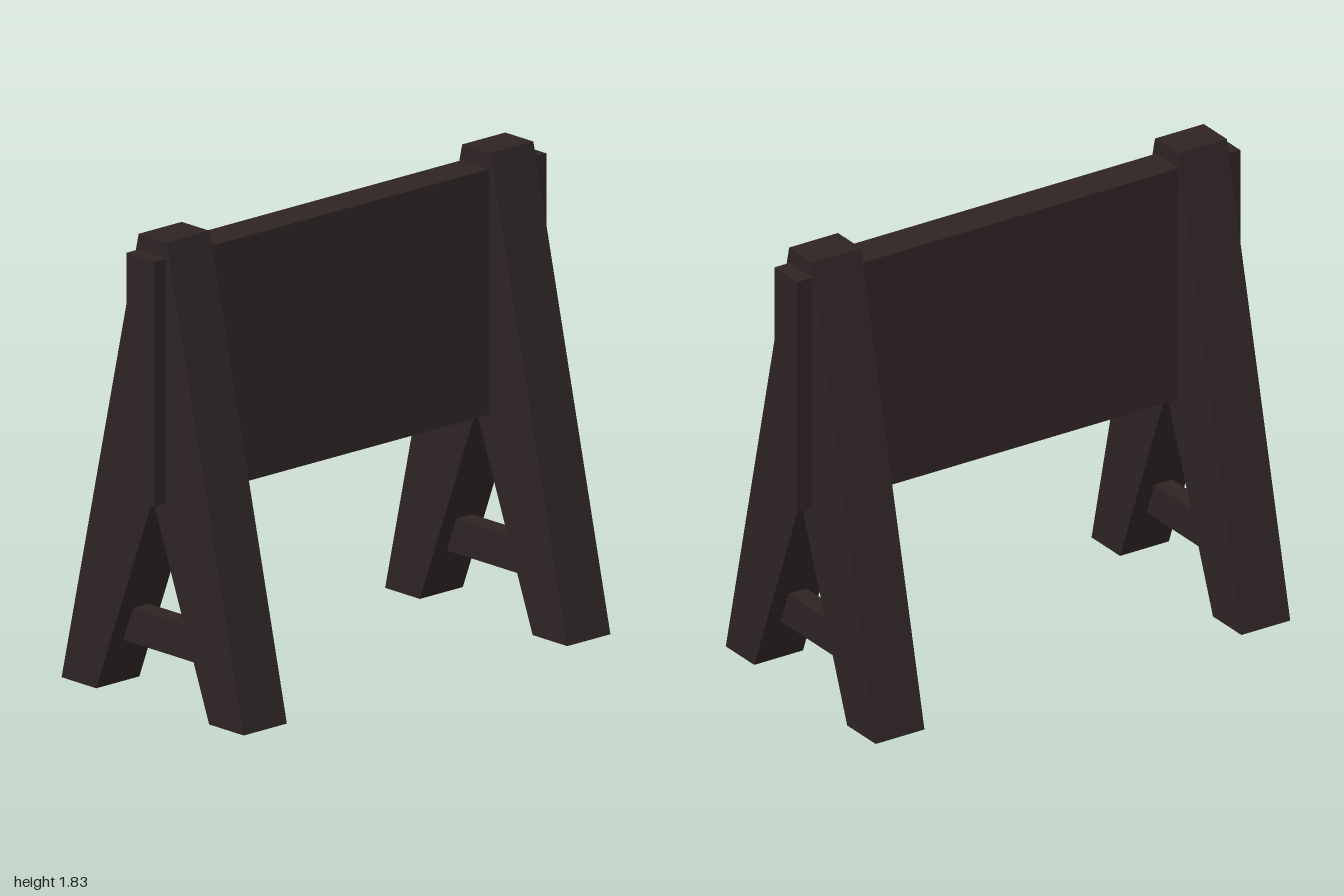
import * as THREE from 'three';

export function createModel() {
  const model = new THREE.Group();
  model.name = 'trestleBoard';
  const darkWood = new THREE.MeshStandardMaterial({ color: 0x2e2424 });
  darkWood.name = 'darkWood';

  const addBox = (name, size, position, parent) => {
    const mesh = new THREE.Mesh(new THREE.BoxGeometry(...size), darkWood);
    mesh.name = name;
    mesh.position.set(...position);
    parent.add(mesh);
  };

  // Wide panel held between the frames
  addBox('panel', [2, 0.96, 0.152], [0, 1.29, -0.003], model);

  // A-shaped side profile: two splayed legs meeting under the panel
  const profile = new THREE.Shape([
    [-0.5, 0], [-0.31, 0], [0, 0.81], [0.31, 0], [0.5, 0], [0.077, 1.832], [-0.077, 1.832],
  ].map(([z, y]) => new THREE.Vector2(z, y)));
  const width = 0.22;
  const frameGeometry = new THREE.ExtrudeGeometry(profile, { depth: width, bevelEnabled: false });
  frameGeometry.translate(0, 0, -width / 2);
  frameGeometry.rotateY(Math.PI / 2);

  // One frame with its crossbar at each end
  for (const [side, x] of [['left', 0.82], ['right', -0.83]]) {
    const end = new THREE.Group();
    end.name = side + 'Frame';
    end.position.x = x;
    const legs = new THREE.Mesh(frameGeometry, darkWood);
    legs.name = side + 'Legs';
    end.add(legs);
    addBox(side + 'Crossbar', [0.08, 0.137, 0.48], [0, 0.26, 0], end);
    model.add(end);
  }

  return model;
}
